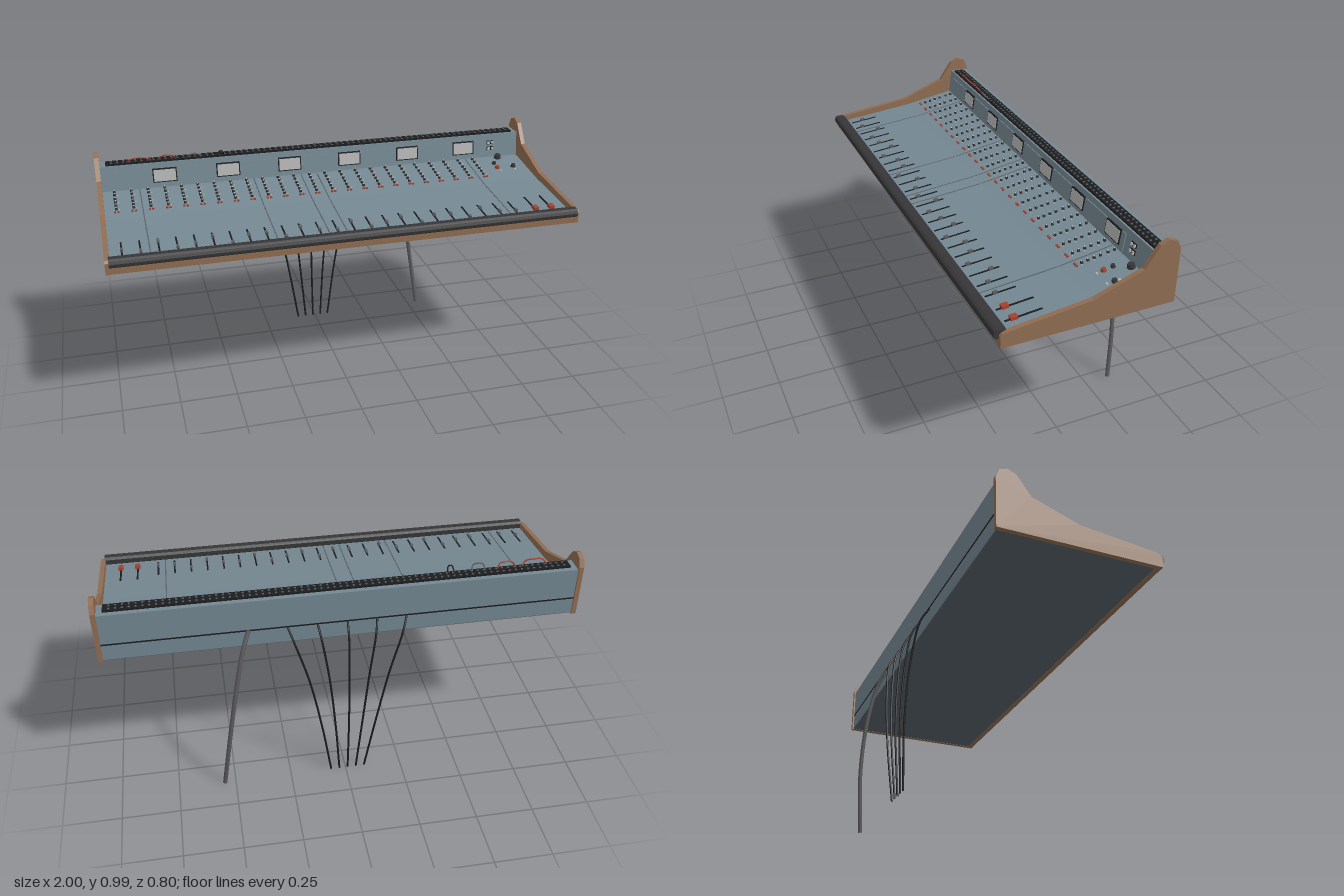
import * as THREE from 'three';
import { mergeGeometries } from 'three/addons/utils/BufferGeometryUtils.js';

const mat = (name, color) => {
  const m = new THREE.MeshStandardMaterial({ color });
  m.name = name;
  return m;
};

export function createModel() {
  const root = new THREE.Group();
  root.name = 'mixingConsole';
  const steel = mat('blueGreySteel', 0x748791);
  const base = mat('darkSteel', 0x596269);
  const wood = mat('wood', 0x906d52);
  const black = mat('black', 0x1b1c1e);
  const pad = mat('charcoalPadding', 0x363638);
  const grey = mat('cableGrey', 0x5c5c5e);
  const light = mat('lightGrey', 0xb4b6b4);
  const red = mat('red', 0xa8402e);

  const add = (name, geo, material) => {
    const m = new THREE.Mesh(Array.isArray(geo) ? mergeGeometries(geo) : geo, material);
    m.name = name;
    root.add(m);
    return m;
  };
  const box = (w, h, d, x, y, z) => new THREE.BoxGeometry(w, h, d).translate(x, y, z);

  // Extrudes a (z, y) profile across x, centred at x
  const profile = (pts, width, x) => {
    const shape = new THREE.Shape(pts.map(([z, y]) => new THREE.Vector2(z, y)));
    return new THREE.ExtrudeGeometry(shape, { depth: width, bevelEnabled: false })
      .rotateY(-Math.PI / 2).translate(x + width / 2, 0, 0);
  };
  const tube = (pts, r, n = 32, sides = 8) => new THREE.TubeGeometry(
    new THREE.CatmullRomCurve3(pts.map(p => new THREE.Vector3(...p))), n, r, sides);

  // Wooden cheeks
  const cheek = [[0.38, 0.715], [0.38, 0.763], [0.372, 0.772], [0.355, 0.778], [0.02, 0.817], [-0.18, 0.89],
    [-0.24, 0.976], [-0.275, 0.992], [-0.31, 0.98], [-0.325, 0.945], [-0.325, 0.715]];
  for (const s of [1, -1]) add(s > 0 ? 'leftCheek' : 'rightCheek', profile(cheek, 0.02, s * 0.99), wood);
  add('frontRail', box(1.96, 0.03, 0.022, 0, 0.73, 0.367), wood);

  // Body with folded deck and meter bridge
  const frontZ = 0.356, foldZ = 0.01, backZ = -0.225;
  add('consoleBody', profile([[frontZ, 0.72], [frontZ, 0.752], [foldZ, 0.785], [backZ, 0.823],
    [-0.24, 0.932], [-0.318, 0.932], [-0.318, 0.72]], 1.96, 0), steel);
  add('bottomPlate', box(1.96, 0.004, 0.67, 0, 0.718, 0.019), base);
  add('rearSeam', box(1.96, 0.006, 0.003, 0, 0.793, -0.3185), black);

  // Padded armrest
  const rest = [[0.348, 0.755], [0.356, 0.747], [0.388, 0.747], [0.398, 0.754],
    [0.4, 0.766], [0.396, 0.778], [0.386, 0.784], [0.36, 0.784], [0.348, 0.776]];
  add('armrest', profile(rest, 1.97, 0), pad);

  // Moves a geometry built on y = 0 onto the sloping deck
  const onDeck = (geo, x, z) => {
    const front = z > foldZ;
    const slope = front ? (0.785 - 0.752) / (frontZ - foldZ) : (0.823 - 0.785) / (foldZ - backZ);
    return geo.rotateX(Math.atan(slope)).translate(x, 0.785 + (foldZ - z) * slope, z);
  };
  const deckBox = (w, h, d, x, z) => onDeck(box(w, h, d, 0, h / 2, 0), x, z);
  const deckKnob = (r, h, x, z, lift = 0) =>
    onDeck(new THREE.CylinderGeometry(r * 0.8, r, h, 10).translate(0, h / 2 + lift, 0), x, z);

  // Channel strips: knobs, buttons and faders
  const knobs = [], caps = [], buttons = [], slots = [], faders = [], pins = [];
  const rows = [-0.212, -0.185, -0.152, -0.125, -0.098, -0.072];
  for (let i = 0; i < 24; i++) {
    const x = -0.93 + i * 0.0729;
    rows.forEach((z, r) => {
      knobs.push(deckKnob(0.0065, 0.011, x, z));
      caps.push(deckKnob(0.004, 0.002, x, z, 0.011));
      if (r % 2) pins.push(deckBox(0.005, 0.004, 0.005, x + 0.013, z + 0.008));
    });
    for (const dx of [-0.007, 0.007]) buttons.push(deckBox(0.009, 0.006, 0.008, x + dx, -0.046));
    slots.push(deckBox(0.007, 0.002, 0.125, x, 0.265));
    faders.push(deckBox(0.011, 0.012, 0.018, x, 0.27 + 0.035 * Math.sin(i * 2.3)));
  }
  // Master section
  const masterFaders = [];
  for (const x of [0.838, 0.912]) {
    slots.push(deckBox(0.008, 0.002, 0.15, x, 0.25));
    masterFaders.push(deckBox(0.022, 0.014, 0.028, x, 0.29));
    pins.push(deckBox(0.009, 0.006, 0.009, x, -0.085));
  }
  knobs.push(deckKnob(0.017, 0.018, 0.875, -0.208), deckKnob(0.01, 0.012, 0.835, -0.155),
    deckKnob(0.012, 0.014, 0.915, -0.115));
  caps.push(deckKnob(0.008, 0.003, 0.915, -0.135));
  buttons.push(deckKnob(0.012, 0.012, 0.835, -0.115));
  add('channelKnobs', knobs, pad);
  add('knobCaps', caps, light);
  add('channelButtons', buttons, red);
  add('deckSwitches', pins, light);
  add('faderSlots', slots, black);
  add('faders', faders, grey);
  add('masterFaders', masterFaders, red);

  // Panel joints across the deck
  add('panelJoints', [-0.82, -0.31, -0.091, -0.016, 0.715].flatMap(x => [
    deckBox(0.005, 0.001, 0.338, x, 0.182), deckBox(0.005, 0.001, 0.232, x, -0.106)]), base);

  // Meter bridge face, meters and switches
  const tilt = -Math.atan(0.015 / 0.109);
  const onBridge = (w, h, d, x, y, out = 0) => new THREE.BoxGeometry(w, h, d).rotateX(tilt)
    .translate(x, y, backZ - (y - 0.823) * 0.1376 + out);
  add('meterPanel', onBridge(1.72, 0.075, 0.008, -0.078, 0.869), steel);
  const meterX = Array.from({ length: 6 }, (_, i) => -0.705 + i * 0.2815);
  add('meterFrames', meterX.map(x => onBridge(0.106, 0.062, 0.008, x, 0.877, 0.004)), black);
  add('meterFaces', meterX.map(x => onBridge(0.096, 0.052, 0.006, x, 0.877, 0.007)), light);
  add('bridgeSwitches', [0.832, 0.852].flatMap(x =>
    [0.865, 0.893].map(y => onBridge(0.009, 0.011, 0.012, x, y, 0.004))), light);
  add('bridgeSwitchBases', [0.832, 0.852].flatMap(x =>
    [0.865, 0.893].map(y => onBridge(0.014, 0.018, 0.004, x, y, 0.001))), black);

  // Patch bay on top with two rows of jacks
  add('patchBay', box(1.91, 0.008, 0.048, 0, 0.935, -0.272), black);
  const jacks = [];
  for (let i = 0; i < 72; i++) for (const z of [-0.283, -0.261])
    jacks.push(new THREE.CylinderGeometry(0.005, 0.005, 0.003, 6).translate(-0.93 + i * 0.0262, 0.94, z));
  add('patchJacks', jacks, grey);

  // Patch cords looping over the bay
  const cord = (x0, x1, z, h) => tube([[x0, 0.935, -0.262], [x0 + (x1 - x0) * 0.15, 0.94 + h * 0.7, z],
    [(x0 + x1) / 2, 0.94 + h, z], [x1 - (x1 - x0) * 0.15, 0.94 + h * 0.7, z], [x1, 0.935, -0.262]], 0.003, 24, 6);
  add('redPatchCords', [cord(-0.865, -0.755, -0.246, 0.02), cord(-0.73, -0.65, -0.248, 0.021)], red);
  add('greyPatchCord', cord(-0.6, -0.54, -0.24, 0.021), grey);
  add('blackPatchCord', cord(-0.465, -0.438, -0.24, 0.024), black);

  // Rear cables falling to the floor
  for (let i = -2; i <= 2; i++) {
    const at = (a, y, z) => [-0.01 + i * a, y, z];
    add('rearCable', tube([at(0.124, 0.79, -0.316), at(0.113, 0.73, -0.352), at(0.086, 0.55, -0.374),
      at(0.061, 0.3, -0.376), at(0.038, 0.002, -0.357)], 0.0045), black);
  }
  add('mainCable', tube([[0.395, 0.795, -0.316], [0.425, 0.72, -0.346], [0.468, 0.53, -0.379],
    [0.51, 0.28, -0.387], [0.548, 0.002, -0.362]], 0.0095, 32, 10), grey);

  return root;
}
